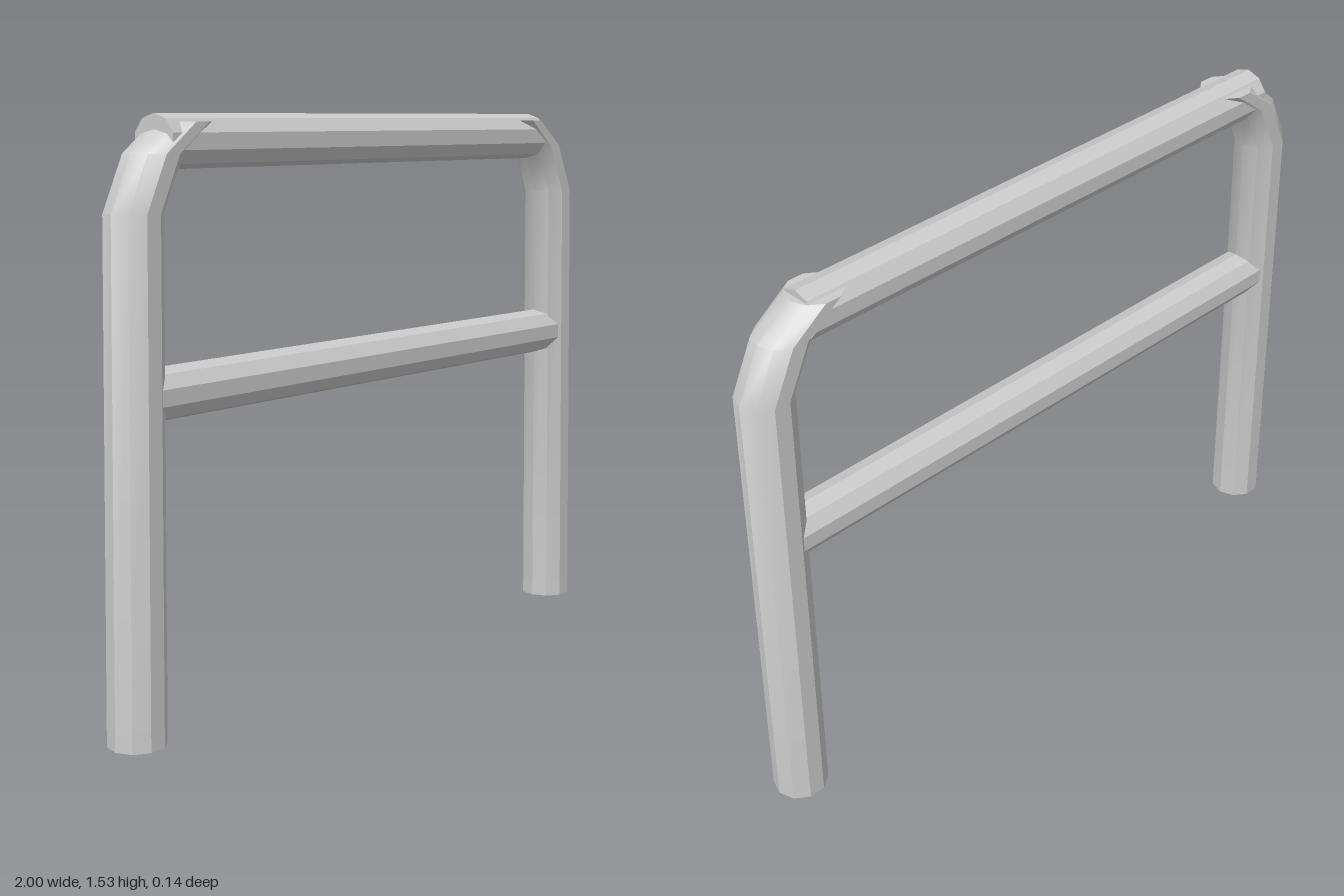
import * as THREE from 'three';
import { toCreasedNormals } from 'three/addons/utils/BufferGeometryUtils.js';

const SIDES = 10;
const CREASE = 0.6; // soft along the bends, sharp between the ten facets
const material = new THREE.MeshStandardMaterial({ color: 0xcccccc });

// Leg rings from the ground up, all kept level: [centre x, height, radius]
const LEG_RINGS = [
  [0.925, 0, 0.075],
  [0.903, 1.3, 0.073],
  [0.835, 1.44, 0.073],
  [0.732, 1.515, 0.073],
];

// Ten-sided post whose rings shift inwards at the top
function makeLeg(side, name) {
  const rows = LEG_RINGS.length - 1;
  const geo = new THREE.CylinderGeometry(1, 1, rows, SIDES, rows, false, Math.PI / 2);
  const p = geo.attributes.position;
  for (let i = 0; i < p.count; i++) {
    const [cx, y, r] = LEG_RINGS[Math.round(p.getY(i) + rows / 2)];
    p.setXYZ(i, side * cx + p.getX(i) * r, y, p.getZ(i) * r);
  }
  const mesh = new THREE.Mesh(toCreasedNormals(geo, CREASE), material);
  mesh.name = name;
  return mesh;
}

// Ten-sided rail along x, with an edge line at its top and bottom
function makeRail(x0, x1, y, name) {
  const geo = new THREE.CylinderGeometry(0.067, 0.067, x1 - x0, SIDES, 1, false, Math.PI / 2);
  geo.rotateZ(Math.PI / 2);
  geo.translate((x0 + x1) / 2, y, 0);
  const mesh = new THREE.Mesh(toCreasedNormals(geo, CREASE), material);
  mesh.name = name;
  return mesh;
}

export function createModel() {
  const group = new THREE.Group();
  group.name = 'barrierRail';
  group.add(
    makeLeg(1, 'leftLeg'),
    makeLeg(-1, 'rightLeg'),
    makeRail(-0.83, 0.787, 1.468, 'topRail'),
    makeRail(-0.9, 0.9, 0.86, 'middleRail'),
  );
  return group;
}
